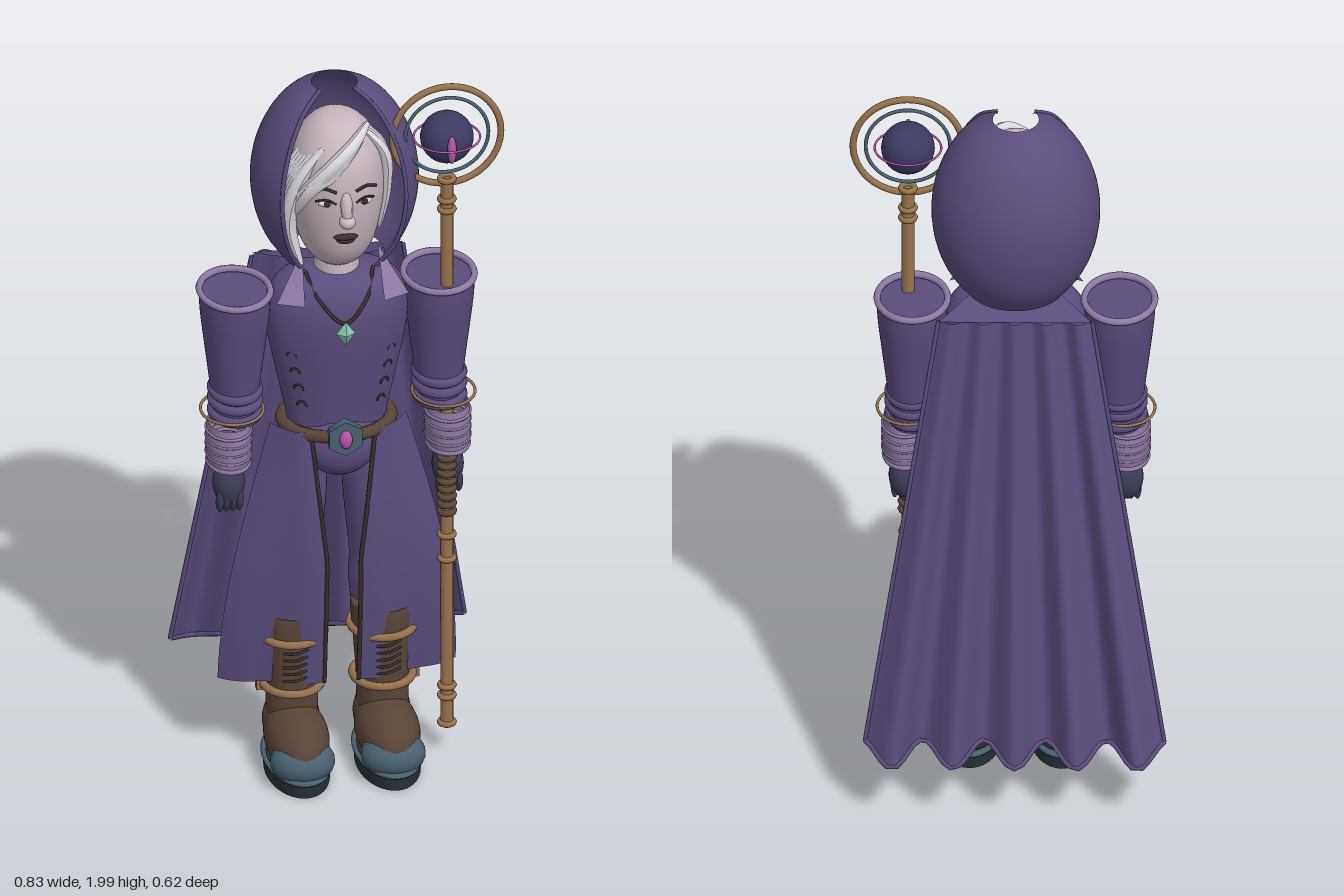
import * as THREE from 'three';

const C = {
  cloth: 0x5b4d7d, trim: 0x8f7aa3, skin: 0xc8b6bf, hair: 0xdcd8e0, leather: 0x5a4538, tan: 0x96724c,
  slate: 0x4a6070, glove: 0x3c3e56, sole: 0x26333a, orb: 0x3c3a62, pink: 0xb455a4, teal: 0x86c6b0, dark: 0x3a2c2c,
};
const V = (a) => new THREE.Vector3(...a);

export function createModel() {
  const model = new THREE.Group();
  const body = new THREE.Group();
  body.name = 'figure';
  body.position.x = -0.025;
  model.add(body);

  function add(name, geo, color, pos = [0, 0, 0], scale = [1, 1, 1], rot = [0, 0, 0], open = false) {
    const mat = new THREE.MeshStandardMaterial({ color });
    if (open) mat.side = THREE.DoubleSide;
    const m = new THREE.Mesh(geo, mat);
    m.name = name;
    m.position.set(...pos);
    m.scale.set(...scale);
    m.rotation.set(...rot);
    body.add(m);
    return m;
  }
  const ball = (name, color, pos, radii, rot) => add(name, new THREE.SphereGeometry(1, 28, 20), color, pos, radii, rot);
  // Horizontal elliptical ring
  const ring = (name, color, pos, rx, rz, t) =>
    add(name, new THREE.TorusGeometry(1, t / rx, 8, 40).rotateX(Math.PI / 2), color, pos, [rx, rx, rz]);
  // Smooth turned form, profile given bottom to top
  function turned(name, color, profile, pos, sx, sz, open = false, start = 0, len = Math.PI * 2) {
    const pts = new THREE.SplineCurve(profile.map((p) => new THREE.Vector2(...p))).getPoints(32);
    pts.forEach((p) => { p.x = Math.max(p.x, 0); });
    return add(name, new THREE.LatheGeometry(pts, 48, start, len), color, pos, [sx, 1, sz], [0, 0, 0], open);
  }
  const cord = (name, color, pts, r, closed = false) =>
    add(name, new THREE.TubeGeometry(new THREE.CatmullRomCurve3(pts.map(V), closed), 48, r, 6, closed), color);
  // Tube that narrows to both ends
  function lock(name, pts, r) {
    const curve = new THREE.CatmullRomCurve3(pts.map(V));
    const geo = new THREE.TubeGeometry(curve, 20, r, 8);
    const p = geo.attributes.position, v = new THREE.Vector3();
    for (let i = 0; i < p.count; i++) {
      const t = Math.floor(i / 9) / 20;
      v.fromBufferAttribute(p, i).lerp(curve.getPointAt(t), 1 - Math.sin(Math.PI * (0.06 + 0.92 * t)) ** 0.6);
      p.setXYZ(i, v.x, v.y, v.z);
    }
    geo.computeVertexNormals();
    add(name, geo, C.hair);
  }
  // Curved sheet: rule maps u (0..1 across) and v (0..1 down) to a point
  function sheet(name, color, nu, nv, rule) {
    const geo = new THREE.PlaneGeometry(1, 1, nu, nv);
    const p = geo.attributes.position;
    for (let i = 0; i < p.count; i++) p.setXYZ(i, ...rule(p.getX(i) + 0.5, 0.5 - p.getY(i)));
    geo.computeVertexNormals();
    add(name, geo, color, [0, 0, 0], [1, 1, 1], [0, 0, 0], true);
  }

  // Head and neck
  turned('head', C.skin, [[0, 1.475], [0.055, 1.485], [0.095, 1.54], [0.117, 1.63], [0.124, 1.72],
    [0.114, 1.81], [0.08, 1.87], [0.04, 1.9], [0, 1.905]], [0, 0, 0.06], 1, 1.2);
  add('neck', new THREE.CylinderGeometry(0.055, 0.065, 0.14, 24), C.skin, [0, 1.46, 0.06]);
  lock('noseBridge', [[0, 1.75, 0.195], [0, 1.7, 0.215], [0, 1.655, 0.228]], 0.016);
  body.children.at(-1).material.color.set(C.skin);
  ball('noseTip', C.skin, [0, 1.665, 0.222], [0.022, 0.018, 0.024]);
  ball('upperLip', C.dark, [0, 1.609, 0.2], [0.033, 0.008, 0.013]);
  ball('lowerLip', C.dark, [0, 1.598, 0.198], [0.024, 0.009, 0.013]);
  for (const s of [-1, 1]) {
    ball('eye', C.hair, [s * 0.05, 1.71, 0.192], [0.021, 0.01, 0.01]);
    ball('iris', C.dark, [s * 0.05, 1.71, 0.2], [0.009, 0.009, 0.004]);
    cord('eyelid', C.dark, [[s * 0.026, 1.711, 0.205], [s * 0.05, 1.723, 0.201], [s * 0.077, 1.713, 0.182]], 0.003);
    cord('eyebrow', C.dark, [[s * 0.025, 1.745, 0.206], [s * 0.055, 1.755, 0.197], [s * 0.085, 1.74, 0.172]], 0.004);
  }

  // Hair swept across the brow to the right side
  for (let i = 0; i < 6; i++) {
    const d = i * 0.013;
    lock('fringe', [[0.075 - d * 0.3, 1.885 - d * 0.3, 0.1], [0.02 - d * 0.4, 1.86 - d * 0.9, 0.175],
      [-0.06 - d * 0.3, 1.79 - d * 0.5, 0.19 - d * 0.1], [-0.13, 1.71 - d, 0.15 - d * 0.3]], 0.02);
    lock('sideLock', [[-0.05 - d * 0.4, 1.85, 0.15 - d], [-0.115 - d * 0.2, 1.75, 0.145 - d],
      [-0.138 + d * 0.1, 1.62, 0.125 - d], [-0.1 - d * 0.3, 1.47 + d * 0.3, 0.12 - d]], 0.022);
  }
  for (let i = 0; i < 3; i++)
    lock('leftLock', [[0.06, 1.88, 0.11 - i * 0.02], [0.115, 1.81, 0.12 - i * 0.02], [0.125, 1.7, 0.1 - i * 0.02], [0.11, 1.56, 0.08 - i * 0.02]], 0.016);

  // Hood, open at the front
  const hood = [[0.13, 1.47], [0.18, 1.54], [0.21, 1.62], [0.22, 1.71], [0.207, 1.8], [0.17, 1.885], [0.12, 1.945], [0.06, 1.98]];
  const gap = 0.84;
  turned('hood', C.cloth, hood, [0, 0, 0.03], 1, 1, true, gap, Math.PI * 2 - gap * 2);
  for (const s of [-1, 1])
    cord('hoodEdge', C.cloth, hood.map(([r, y]) => [s * r * Math.sin(gap), y, 0.03 + r * Math.cos(gap)]), 0.006);

  // Torso and hips
  turned('torso', C.cloth, [[0.13, 0.98], [0.135, 1.03], [0.16, 1.15], [0.185, 1.28], [0.185, 1.37], [0.15, 1.43], [0.08, 1.455], [0, 1.46]],
    [0, 0, 0.06], 1, 0.65);
  ball('hips', C.cloth, [0, 0.96, 0.055], [0.14, 0.1, 0.115]);
  ball('frontDrape', C.cloth, [0, 0.95, 0.11], [0.1, 0.09, 0.075]);
  for (const s of [-1, 1]) {
    sheet('collarFlap', C.trim, 4, 8, (u, v) => [s * (0.1 + 0.075 * v - 0.07 * u * v), 1.53 - 0.13 * v, 0.11 + 0.045 * v + 0.03 * u * v]);
    for (let i = 0; i < 4; i++)
      add('bodiceStitch', new THREE.TorusGeometry(0.013, 0.003, 6, 12, Math.PI), C.dark,
        [s * (0.105 + i * 0.009), 1.08 + i * 0.05, 0.135], [1, 1, 1], [0, s * 0.6, 0]);
  }
  cord('necklace', C.dark, [[-0.09, 1.46, 0.1], [-0.06, 1.4, 0.168], [0, 1.345, 0.192], [0.06, 1.4, 0.168], [0.09, 1.46, 0.1]], 0.005);
  add('pendant', new THREE.OctahedronGeometry(1), C.teal, [0, 1.32, 0.2], [0.025, 0.035, 0.018]);

  // Belt with buckle and pouch
  ring('belt', C.leather, [0, 1, 0.058], 0.143, 0.118, 0.018);
  add('buckle', new THREE.CylinderGeometry(0.05, 0.05, 0.025, 6).rotateX(Math.PI / 2), C.slate, [0, 1.005, 0.188]);
  ball('buckleGem', C.pink, [0, 1.005, 0.203], [0.017, 0.026, 0.016]);
  ball('pouch', C.leather, [0.12, 0.94, -0.02], [0.04, 0.06, 0.04]);

  // Skirt panels either side of the front opening
  const mix = (a, b, t) => a + (b - a) * t;
  const panel = (s) => (u, v) => {
    const inner = 0.085 - 0.04 * Math.min(1, v * 2);
    const outer = mix(0.18, 0.315, Math.sin(v * 1.57));
    const z = 0.16 + 0.025 * Math.sin(v * Math.PI) - 0.025 * v;
    return [s * mix(inner, outer, u), 1.01 - 0.76 * v, z - 0.075 * u * u + 0.008 * v * Math.sin(u * 9)];
  };
  for (const s of [-1, 1]) {
    sheet('skirtPanel', C.cloth, 16, 24, panel(s));
    cord('skirtTrim', C.dark, Array.from({ length: 9 }, (_, i) => panel(s)(0, i / 8)), 0.006);
  }

  // Arms
  for (const s of [-1, 1]) {
    const x = s * 0.27;
    turned('sleeve', C.cloth, [[0.064, 1.03], [0.069, 1.12], [0.085, 1.25], [0.096, 1.34], [0.1, 1.405]], [x, 0, 0.065], 0.94, 1.15, true);
    add('sleeveTop', new THREE.CylinderGeometry(0.098, 0.098, 0.01, 40), C.cloth, [x, 1.39, 0.065], [0.94, 1, 1.15]);
    ring('shoulderRim', C.trim, [x, 1.405, 0.065], 0.092, 0.113, 0.009);
    for (const y of [1.05, 1.085, 1.115]) ring('sleevePuff', C.cloth, [x, y, 0.07], 0.06, 0.075, 0.013);
    ring('bracelet', C.tan, [s * 0.28, 1.06, 0.08], 0.082, 0.092, 0.004);
    turned('cuff', C.trim, [[0.05, 0.905], [0.057, 0.92], [0.06, 0.97], [0.055, 1.03]], [s * 0.29, 0, 0.085], 1, 1.3, true);
    ring('cuffEdge', C.trim, [s * 0.29, 0.91, 0.085], 0.052, 0.068, 0.008);
    for (let i = 0; i < 4; i++) ring('cuffWrap', C.trim, [s * 0.29, 0.935 + i * 0.024, 0.085], 0.058, 0.075, 0.004);
    ball('hand', C.glove, [s * 0.29, 0.845, 0.085], [0.042, 0.065, 0.045]);
    for (let i = 0; i < 4; i++) ball('finger', C.glove, [s * (0.265 + i * 0.017), 0.8, 0.105], [0.011, 0.035, 0.016], [0.2, 0, 0]);
  }

  // Legs and boots
  for (const s of [-1, 1]) {
    const x = s * 0.12;
    turned('trouserLeg', C.cloth, [[0.06, 0.42], [0.068, 0.5], [0.066, 0.58], [0.078, 0.7], [0.085, 0.82], [0.07, 0.95]], [x * 0.85, 0, 0.03], 0.95, 1.05, true);
    turned('bootShaft', C.leather, [[0.068, 0.14], [0.07, 0.24], [0.077, 0.34], [0.084, 0.44], [0.07, 0.45], [0, 0.448]], [x, 0, 0.07], 1, 1.04);
    for (const y of [0.23, 0.38]) {
      ring('bootStrap', C.tan, [x, y, 0.07], 0.068 + y * 0.045, 0.073 + y * 0.045, 0.011);
      add('strapBuckle', new THREE.BoxGeometry(0.016, 0.034, 0.026), C.tan, [x + s * (0.078 + y * 0.04), y, 0.07]);
    }
    for (let i = 0; i < 5; i++)
      cord('bootLace', C.dark, [[x - 0.035, 0.262 + i * 0.022, 0.136 + i * 0.003], [x, 0.268 + i * 0.022, 0.15 + i * 0.003], [x + 0.035, 0.274 + i * 0.022, 0.136 + i * 0.003]], 0.004);
    ball('bootFoot', C.leather, [x, 0.1, 0.14], [0.084, 0.085, 0.155]);
    ball('bootHeel', C.leather, [x, 0.11, 0.06], [0.076, 0.09, 0.08]);
    ball('toeCap', C.slate, [x, 0.075, 0.23], [0.085, 0.06, 0.076]);
    add('sole', new THREE.CylinderGeometry(1, 0.96, 0.045, 40), C.sole, [x, 0.0225, 0.143], [0.087, 1, 0.163]);
    ring('soleWelt', C.slate, [x, 0.045, 0.143], 0.084, 0.16, 0.007);
  }

  // Pleated cape, flaring downwards
  const cape = (u, v) => {
    const a = u * 2 - 1;
    const fold = Math.cos((a * 0.39 * Math.PI * 2) / 0.16);
    return [a * mix(0.2, 0.39, v), 1.425 - 1.225 * v - 0.02 * v * fold, mix(-0.085, -0.258, v) - mix(0.012, 0.04, v) * fold];
  };
  sheet('cape', C.cloth, 100, 24, cape);
  cord('capeHem', C.cloth, Array.from({ length: 41 }, (_, i) => cape(i / 40, 1)), 0.007);
  for (const u of [0, 1]) cord('capeSideEdge', C.cloth, [0, 0.33, 0.66, 1].map((v) => cape(u, v)), 0.006);
  sheet('capeYoke', C.cloth, 24, 6, (u, v) => [(u * 2 - 1) * mix(0.1, 0.2, v), 1.46 - 0.035 * v, mix(0.03, -0.085, v)]);

  // Staff
  const sx = 0.282, sz = 0.117;
  add('staffPole', new THREE.CylinderGeometry(0.017, 0.017, 1.63, 16), C.tan, [sx, 0.895, sz]);
  for (const y of [0.09, 0.17, 0.2, 0.58, 0.65, 1.13, 1.36, 1.62, 1.65, 1.71]) ring('staffBand', C.tan, [sx, y, sz], 0.018, 0.018, 0.008);
  for (let i = 0; i < 8; i++) ring('gripWrap', C.leather, [sx, 0.72 + i * 0.023, sz], 0.018, 0.018, 0.009);
  add('outerHoop', new THREE.TorusGeometry(0.143, 0.009, 10, 64), C.tan, [sx, 1.84, sz]);
  add('innerHoop', new THREE.TorusGeometry(0.11, 0.005, 8, 64), C.slate, [sx, 1.84, sz]);
  ball('orb', C.orb, [sx, 1.835, sz], [0.07, 0.07, 0.07]);
  ring('orbitRing', C.pink, [sx, 1.835, sz], 0.087, 0.087, 0.003);
  ball('orbGem', C.pink, [sx, 1.835, sz + 0.075], [0.012, 0.04, 0.012]);

  return model;
}
